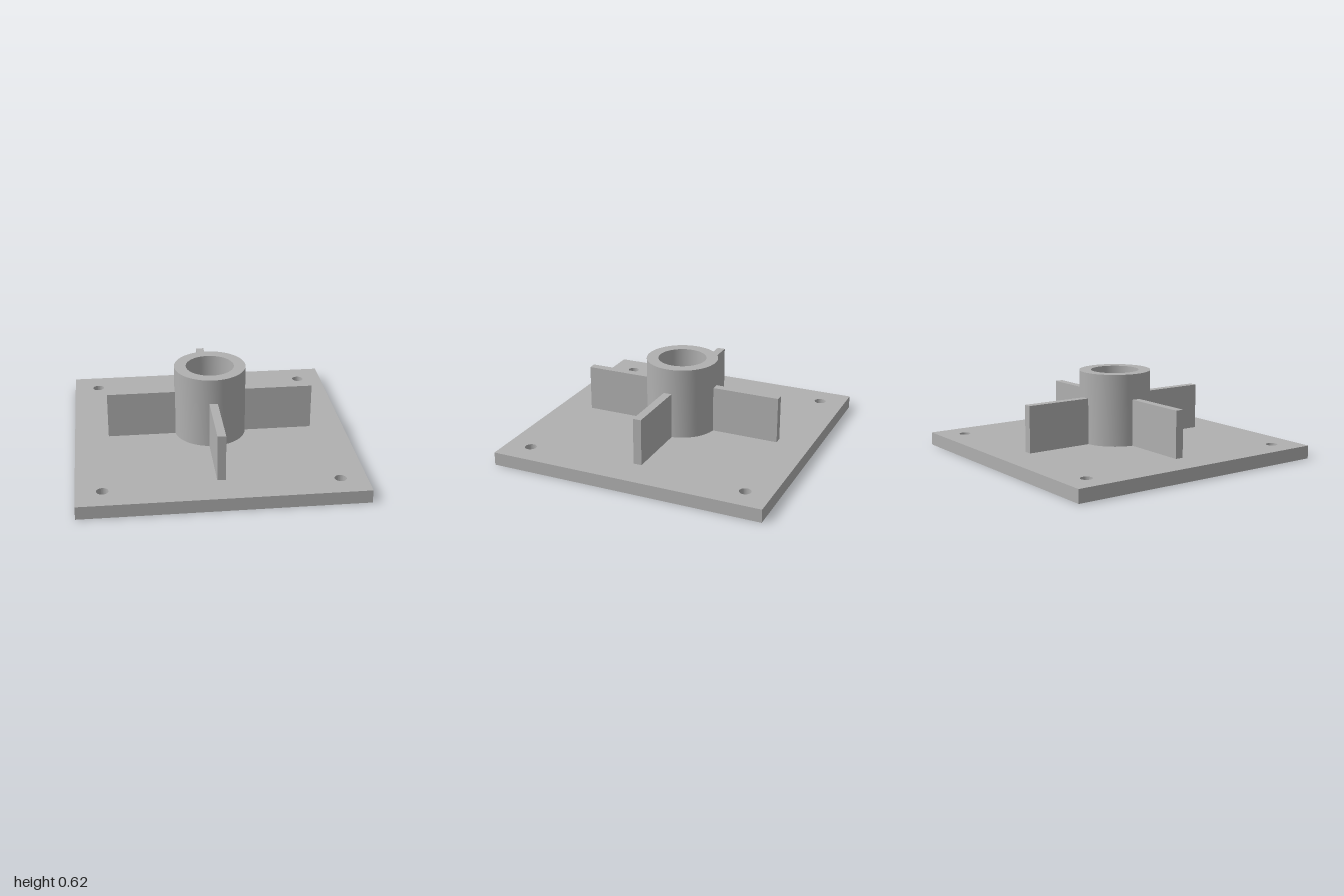
import * as THREE from 'three';
import { toCreasedNormals } from 'three/addons/utils/BufferGeometryUtils.js';

const PLATE_TOP = 0.095, HUB_TOP = 0.617, RIB_TOP = 0.432;
const HUB_R = 0.26, BORE_R = 0.175, RIB_END = 0.753, RIB_WIDTH = 0.06;
const HOLE_POS = 0.815, HOLE_R = 0.042;

export function createModel() {
  const group = new THREE.Group();
  const steel = new THREE.MeshStandardMaterial({ color: 0xb0b0b0 });
  steel.name = 'steel grey';

  const add = (name, geometry) => {
    const mesh = new THREE.Mesh(geometry, steel);
    mesh.name = name;
    group.add(mesh);
    return mesh;
  };

  // Square base plate with a bolt hole through each corner
  const outline = new THREE.Shape([
    new THREE.Vector2(-1, -1), new THREE.Vector2(1, -1),
    new THREE.Vector2(1, 1), new THREE.Vector2(-1, 1),
  ]);
  for (const x of [-HOLE_POS, HOLE_POS]) {
    for (const y of [-HOLE_POS, HOLE_POS]) {
      outline.holes.push(new THREE.Path().absarc(x, y, HOLE_R, 0, Math.PI * 2, true));
    }
  }
  const plate = new THREE.ExtrudeGeometry(outline, { depth: PLATE_TOP, bevelEnabled: false, curveSegments: 32 });
  plate.rotateX(-Math.PI / 2);
  add('basePlate', toCreasedNormals(plate, 0.6));

  // Central socket, open at the top and closed by the plate below
  const profile = [[HUB_R, PLATE_TOP], [HUB_R, HUB_TOP], [BORE_R, HUB_TOP], [BORE_R, PLATE_TOP]]
    .map(([r, y]) => new THREE.Vector2(r, y));
  add('socket', toCreasedNormals(new THREE.LatheGeometry(profile, 72), 0.6));

  // Four stiffening ribs, sunk slightly into the socket wall
  const inner = HUB_R - 0.02;
  for (let i = 0; i < 4; i++) {
    const rib = new THREE.BoxGeometry(RIB_END - inner, RIB_TOP - PLATE_TOP, RIB_WIDTH);
    rib.translate((RIB_END + inner) / 2, (RIB_TOP + PLATE_TOP) / 2, 0);
    add('rib', rib).rotation.y = (i * Math.PI) / 2;
  }

  return group;
}
